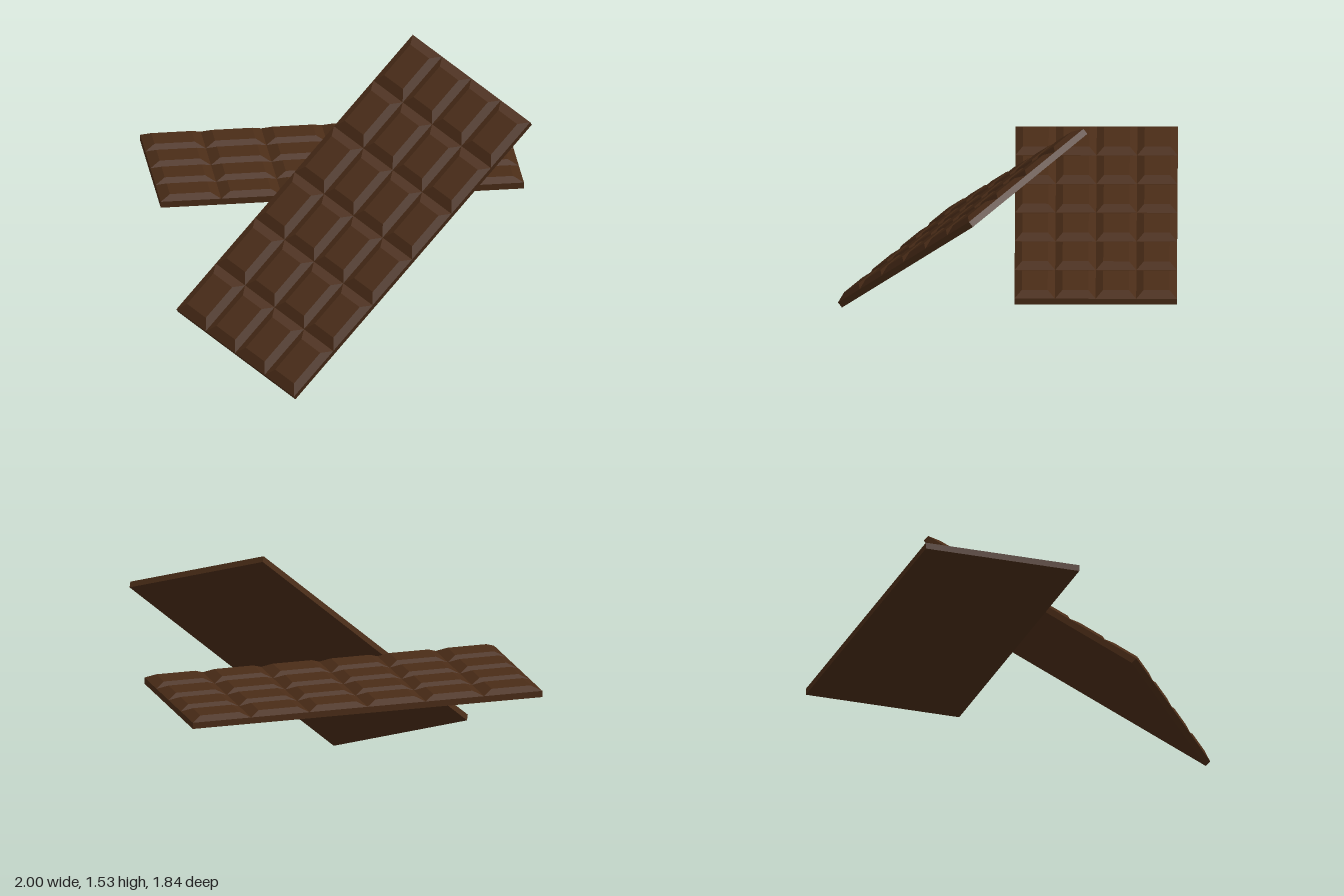
import * as THREE from 'three';

const LENGTH = 1.985, WIDTH = 0.88, WALL = 0.035, HEIGHT = 0.06;
const COLS = 6, ROWS = 4, BEVEL_X = 0.055, BEVEL_Z = 0.04;

const chocolate = new THREE.MeshStandardMaterial({ color: 0x4a2c17, flatShading: true });

// Four sides between two rectangles [width, y, depth], closed at the bottom or the top
function block(lower, upper, cap) {
  const ring = ([w, y, d]) =>
    [[-1, 1], [1, 1], [1, -1], [-1, -1]].flatMap(([sx, sz]) => [sx * w / 2, y, sz * d / 2]);
  const index = [];
  for (let i = 0; i < 4; i++) {
    const j = (i + 1) % 4;
    index.push(i, j, j + 4, i, j + 4, i + 4);
  }
  if (cap === 'top') index.push(4, 5, 6, 4, 6, 7);
  else index.push(0, 2, 1, 0, 3, 2);
  const geometry = new THREE.BufferGeometry();
  geometry.setAttribute('position', new THREE.Float32BufferAttribute([...ring(lower), ...ring(upper)], 3));
  geometry.setIndex(index);
  const flat = geometry.toNonIndexed();
  flat.computeVertexNormals();
  return flat;
}

function createBar(name) {
  const bar = new THREE.Group();
  bar.name = name;

  // Slab under the pieces
  const slab = new THREE.Mesh(block([LENGTH, 0, WIDTH], [LENGTH, WALL, WIDTH], 'bottom'), chocolate);
  slab.name = 'slab';
  bar.add(slab);

  // Grid of bevelled pieces meeting in V-shaped grooves
  const px = LENGTH / COLS, pz = WIDTH / ROWS;
  const pieceGeometry = block([px, WALL, pz], [px - 2 * BEVEL_X, HEIGHT, pz - 2 * BEVEL_Z], 'top');
  for (let c = 0; c < COLS; c++) {
    for (let r = 0; r < ROWS; r++) {
      const piece = new THREE.Mesh(pieceGeometry, chocolate);
      piece.name = `piece_${c + 1}_${r + 1}`;
      piece.position.set((c + 0.5) * px - LENGTH / 2, 0, (r + 0.5) * pz - WIDTH / 2);
      bar.add(piece);
    }
  }
  return bar;
}

export function createModel() {
  const model = new THREE.Group();
  model.name = 'chocolateBars';

  // Level bar at the back
  const flatBar = createBar('flatBar');
  flatBar.position.set(-0.0075, 0.755, -0.48);

  // Tilted bar in front, turned by its long, upward and short directions
  const tiltedBar = createBar('tiltedBar');
  const along = new THREE.Vector3(0.697, 0.621, -0.36).normalize();
  const up = new THREE.Vector3(0.638, -0.313, 0.705).cross(along).normalize();
  const across = along.clone().cross(up);
  tiltedBar.quaternion.setFromRotationMatrix(new THREE.Matrix4().makeBasis(along, up, across));
  tiltedBar.position.set(0.026, 0.757, 0.233);

  model.add(flatBar, tiltedBar);
  return model;
}
